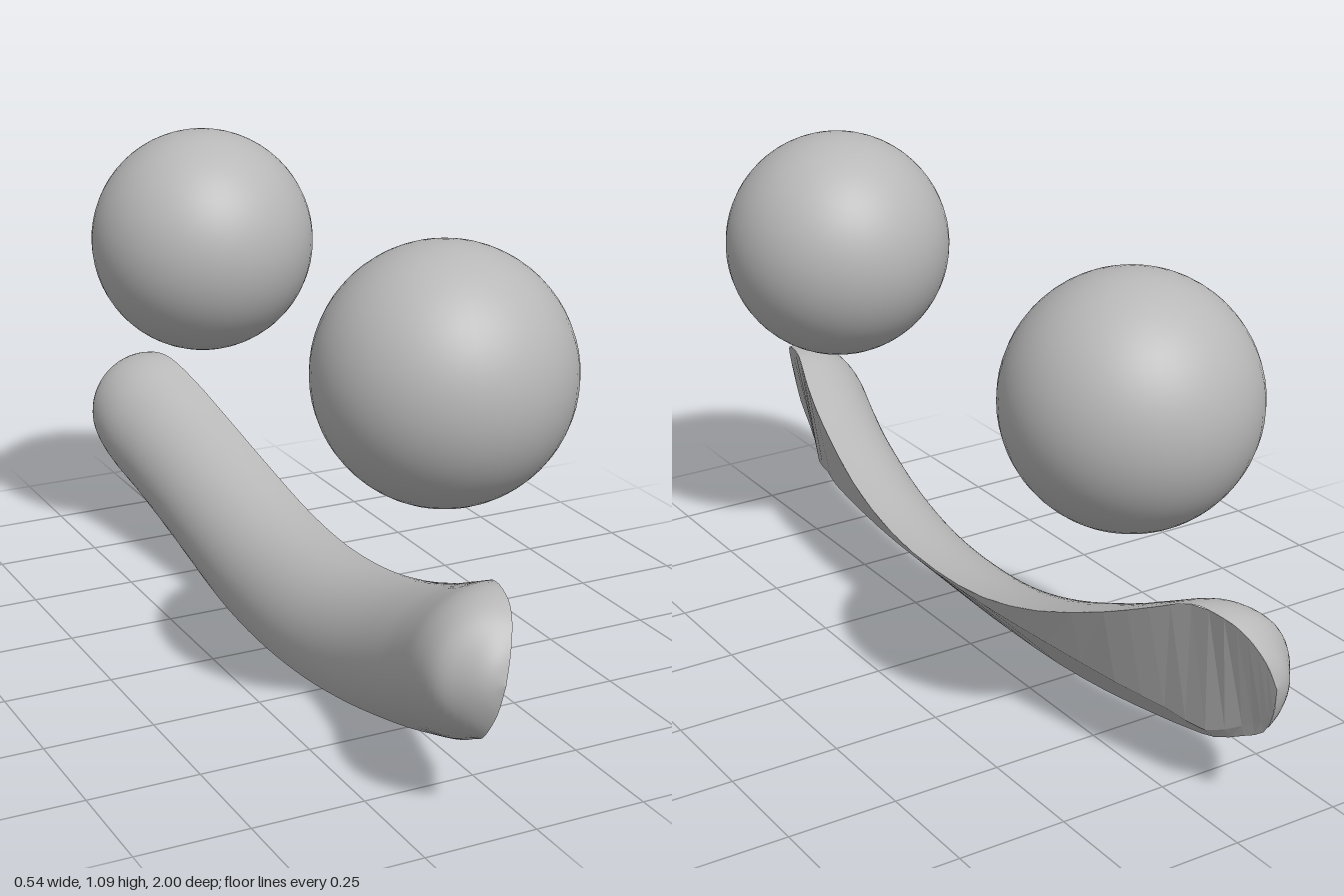
import * as THREE from 'three';

const grey = new THREE.MeshStandardMaterial({ color: 0xb8b8b8 });
grey.name = 'plain grey';

// Half of the mouth, middle to tip: z, upper edge x y, crease x y, lower edge x y, bulge
const SECTIONS = [
  [0, 0.095, 0.222, 0.094, 0.215, -0.115, 0.005, 0.097],
  [0.2, 0.094, 0.238, 0.085, 0.212, -0.112, 0.012, 0.1],
  [0.4, 0.083, 0.288, 0.06, 0.205, -0.105, 0.036, 0.11],
  [0.6, 0.055, 0.365, 0.02, 0.19, -0.095, 0.075, 0.125],
  [0.72, 0.03, 0.42, -0.02, 0.175, -0.085, 0.105, 0.14],
  [0.82, 0, 0.463, -0.05, 0.16, -0.077, 0.135, 0.15],
  [0.9, -0.02, 0.46, -0.08, 0.2, -0.085, 0.175, 0.135],
  [0.95, -0.04, 0.435, -0.088, 0.23, -0.095, 0.205, 0.088],
  [0.985, -0.063, 0.385, -0.086, 0.28, -0.088, 0.265, 0.045],
  [1, -0.08, 0.33, -0.08, 0.33, -0.08, 0.33, 0],
];

// Skin a grid of points, rows running along +z
function skin(rows) {
  const cols = rows[0].length;
  const index = [];
  for (let i = 0; i < rows.length - 1; i++) {
    for (let j = 0; j < cols - 1; j++) {
      const a = i * cols + j, b = a + 1, c = a + cols, d = c + 1;
      index.push(a, b, c, b, d, c);
    }
  }
  const geometry = new THREE.BufferGeometry().setFromPoints(rows.flat());
  geometry.setIndex(index);
  return geometry;
}

// Circular arc from upper edge u to lower edge b, bulging towards -x by h
function arc(u, b, h, steps) {
  const chord = b.clone().sub(u);
  const half = chord.length() / 2;
  const mid = u.clone().add(b).multiplyScalar(0.5);
  if (half < 1e-5) return Array.from({ length: steps + 1 }, () => mid.clone());
  const along = chord.normalize();
  const out = new THREE.Vector3(along.y, -along.x, 0);
  const angle = 2 * Math.atan(h / half);
  const radius = half / Math.sin(angle);
  return Array.from({ length: steps + 1 }, (_, k) => {
    const t = angle * (2 * k / steps - 1);
    return mid.clone()
      .addScaledVector(along, radius * Math.sin(t))
      .addScaledVector(out, radius * (Math.cos(t) - Math.cos(angle)));
  });
}

function createMouth() {
  const mirrored = SECTIONS.slice(1).reverse().map(([z, ...rest]) => [-z, ...rest]);
  const all = [...mirrored, ...SECTIONS];
  const edge = (k) => new THREE.CatmullRomCurve3(
    all.map((s) => new THREE.Vector3(s[k], s[k + 1], s[0])), false, 'catmullrom');
  const bulge = new THREE.CatmullRomCurve3(
    all.map((s) => new THREE.Vector3(s[7], 0, 0)), false, 'catmullrom');
  const upper = edge(1), crease = edge(3), lower = edge(5);

  const roundRows = [], cutRows = [];
  const steps = (all.length - 1) * 4;
  for (let i = 0; i <= steps; i++) {
    const t = i / steps;
    const u = upper.getPoint(t), b = lower.getPoint(t);
    roundRows.push(arc(u, b, Math.max(0, bulge.getPoint(t).x), 24));
    // the faceted cut side needs fewer sections
    if (i % 2 === 0) cutRows.push([b, crease.getPoint(t), u]);
  }

  const round = skin(roundRows);
  round.computeVertexNormals();
  const cut = skin(cutRows).toNonIndexed();
  cut.computeVertexNormals();

  const mouth = new THREE.Group();
  mouth.name = 'mouth';
  for (const [name, geometry] of [['mouthRoundSide', round], ['mouthCutSide', cut]]) {
    const mesh = new THREE.Mesh(geometry, grey);
    mesh.name = name;
    mouth.add(mesh);
  }
  return mouth;
}

export function createModel() {
  const model = new THREE.Group();
  model.name = 'smilingFace';

  // Two floating ball eyes
  const ball = new THREE.SphereGeometry(0.27, 48, 32);
  for (const side of [1, -1]) {
    const eye = new THREE.Mesh(ball, grey);
    eye.name = side > 0 ? 'frontEye' : 'backEye';
    eye.position.set(0, 0.827, side * 0.6);
    model.add(eye);
  }

  model.add(createMouth());
  return model;
}
